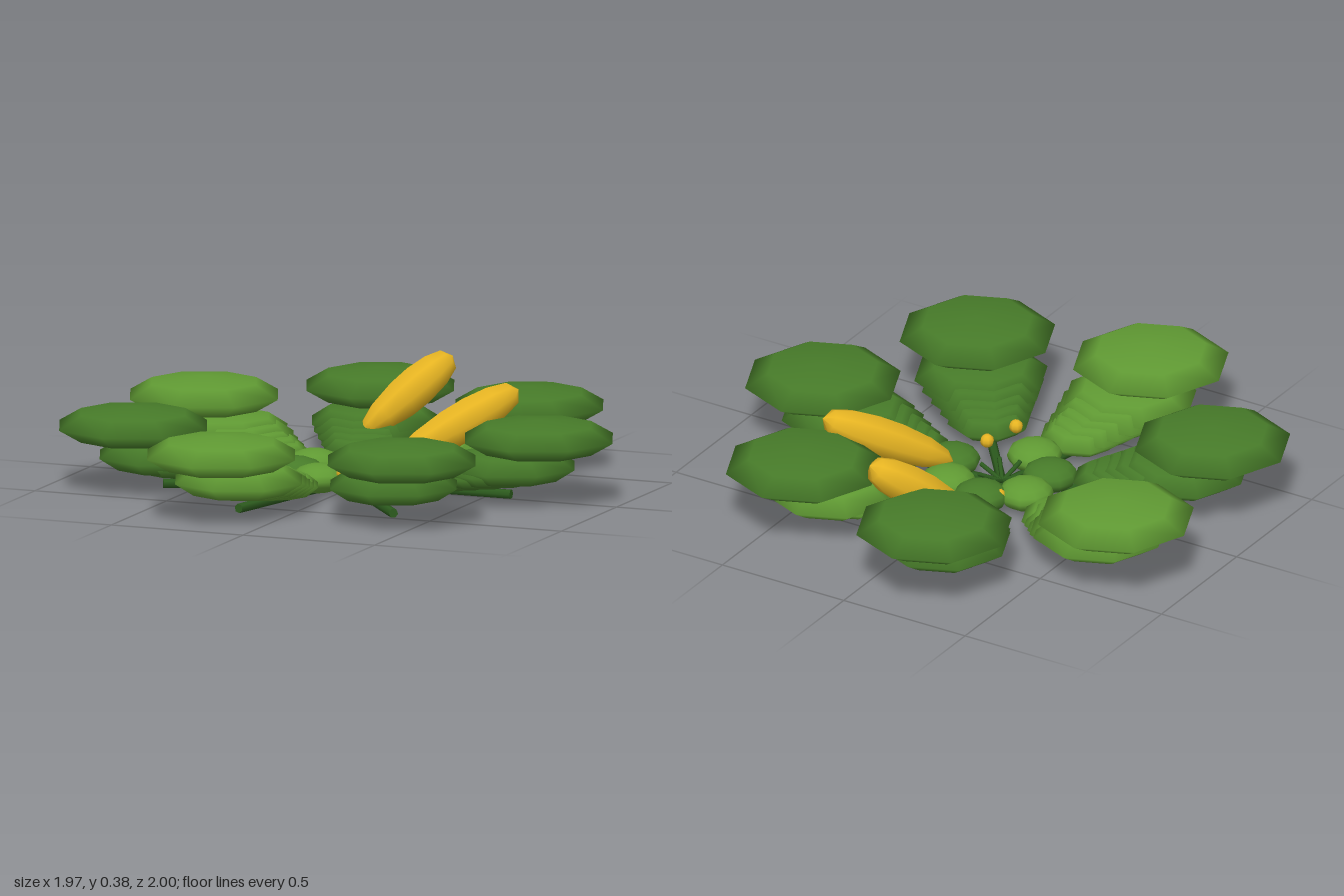
import * as THREE from 'three';

const mat = (name, color) => {
  const m = new THREE.MeshStandardMaterial({ color });
  m.name = name;
  return m;
};

export function createModel() {
  const root = new THREE.Group();
  root.name = 'squashPlant';
  const darkLeaf = mat('dark leaf green', 0x477b29);
  const lightLeaf = mat('light leaf green', 0x609a33);
  const vineGreen = mat('vine green', 0x2d5c1e);
  const yellow = mat('squash yellow', 0xe6b422);

  const CX = -0.035; // crown of the plant
  const leafGeo = new THREE.SphereGeometry(1, 8, 4);
  const youngGeo = new THREE.SphereGeometry(1, 10, 8);
  const up = new THREE.Vector3(0, 1, 0);

  const add = (parent, name, geo, material) => {
    const mesh = new THREE.Mesh(geo, material);
    mesh.name = name;
    parent.add(mesh);
    return mesh;
  };
  // Places a y-aligned mesh between two points
  const span = (mesh, a, b) => {
    mesh.position.copy(a).lerp(b, 0.5);
    mesh.quaternion.setFromUnitVectors(up, b.clone().sub(a).normalize());
    return mesh;
  };
  const rod = (parent, name, a, b, r) =>
    span(add(parent, name, new THREE.CylinderGeometry(r, r, a.distanceTo(b), 6), vineGreen), a, b);

  // Leaves along a runner: distance, height, radius, half thickness
  const chain = [
    [0.395, 0.065, 0.15, 0.05],
    [0.45, 0.077, 0.17, 0.053],
    [0.515, 0.09, 0.195, 0.056],
    [0.575, 0.105, 0.22, 0.06],
    [0.635, 0.12, 0.24, 0.064],
  ];

  for (let i = 0; i < 7; i++) {
    const angle = (i * Math.PI * 2) / 7;
    const at = (d, y) => new THREE.Vector3(CX + Math.cos(angle) * d, y, Math.sin(angle) * d);
    const runner = new THREE.Group();
    runner.name = 'runner' + (i + 1);
    root.add(runner);

    rod(runner, 'vine', at(0, 0.018), at(0.635, 0.018), 0.017);
    rod(runner, 'leafStalk', at(0, 0.03), at(0.09, 0.075), 0.008);

    const chainMat = i === 2 || i === 4 || i === 6 ? lightLeaf : darkLeaf;
    const tipMat = i === 2 || i === 4 ? lightLeaf : darkLeaf;
    const leaf = (name, geo, [d, y, r, h], material) => {
      const mesh = add(runner, name, geo, material);
      mesh.position.copy(at(d, y));
      mesh.scale.set(r, h, r);
      return mesh;
    };
    // Young leaves sit in a rosette slightly off the crown
    if (i !== 1) leaf('youngLeaf', youngGeo, [0.185, 0.06, 0.098, 0.052], chainMat).position.x += 0.02;
    chain.forEach((c) => leaf('runnerLeaf', leafGeo, c, chainMat));
    leaf('tipLeaf', leafGeo, [0.74, 0.225, 0.28, 0.068], tipMat);
  }

  // Spindle-shaped squashes, fuller toward the far end
  const profile = [[0, -0.5], [0.034, -0.43], [0.058, -0.28], [0.073, -0.06], [0.075, 0.12],
    [0.066, 0.3], [0.045, 0.44], [0, 0.5]];
  const squash = (a, b) => {
    const len = a.distanceTo(b);
    const geo = new THREE.LatheGeometry(profile.map(([r, y]) => new THREE.Vector2(r, y * len)), 8);
    span(add(root, 'squash', geo, yellow), a, b);
  };
  squash(new THREE.Vector3(0.13, 0.09, -0.06), new THREE.Vector3(0.465, 0.315, -0.39));
  squash(new THREE.Vector3(-0.135, 0.115, -0.405), new THREE.Vector3(0.095, 0.36, -0.675));

  // Flower buds
  for (const [x, y, z] of [[0.09, 0.11, 0.1], [0.07, 0.1, 0.26], [-0.12, 0.07, -0.16]]) {
    add(root, 'bud', new THREE.SphereGeometry(0.025, 8, 6), yellow).position.set(x, y, z);
  }
  return root;
}
